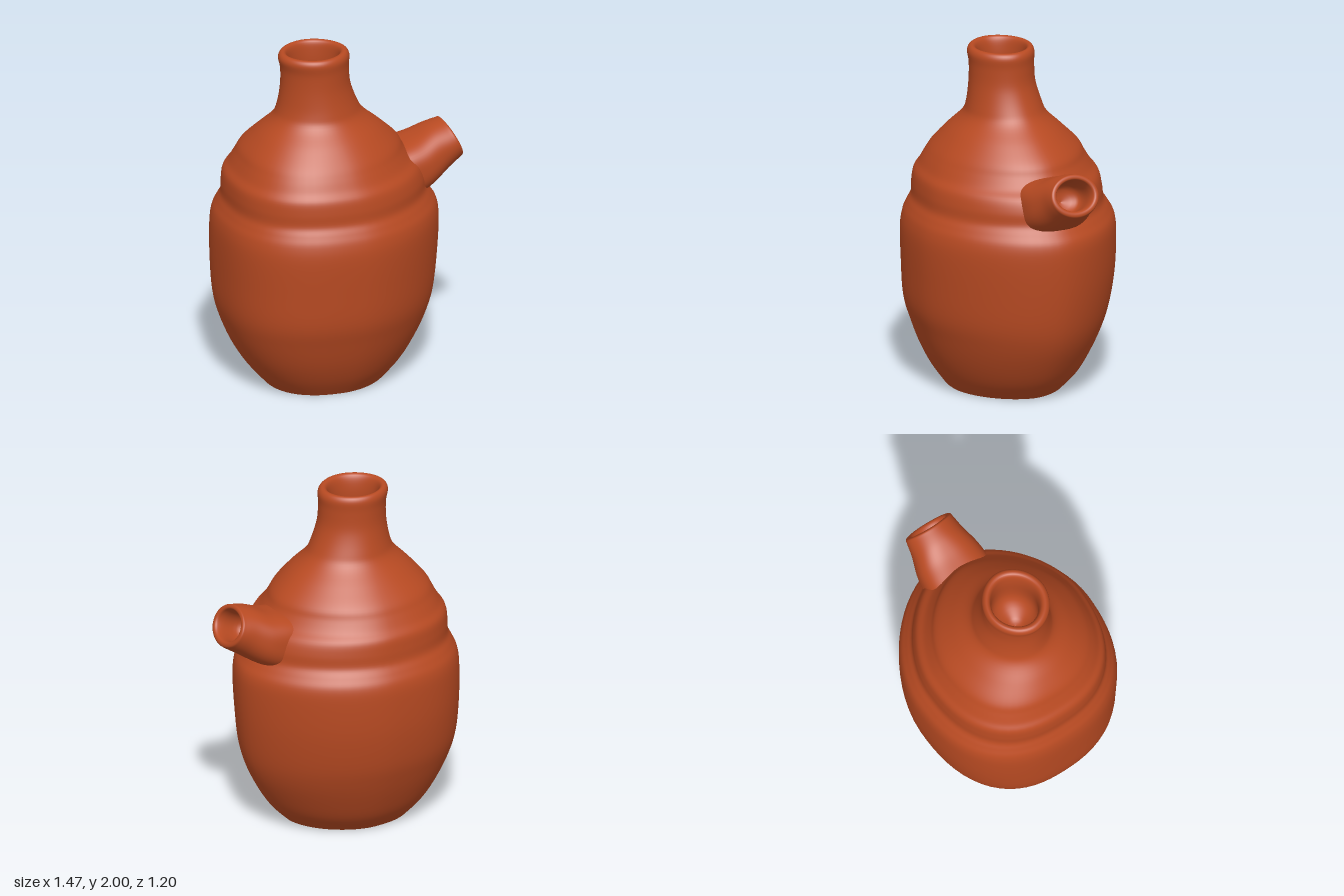
import * as THREE from 'three';

const SEG = 72;
const TAU = Math.PI * 2;

// Smooth interpolation of all numbers in a list of rows
function refine(rows, steps) {
  const out = [];
  const n = rows.length - 1;
  for (let i = 0; i < n; i++) {
    const a = rows[Math.max(i - 1, 0)], b = rows[i], c = rows[i + 1], d = rows[Math.min(i + 2, n)];
    for (let s = 0; s < steps; s++) {
      const t = s / steps;
      out.push(b.map((v, k) => 0.5 * (2 * v + (c[k] - a[k]) * t
        + (2 * a[k] - 5 * v + 4 * c[k] - d[k]) * t * t
        + (3 * v - a[k] - 3 * c[k] + d[k]) * t * t * t)));
    }
  }
  out.push(rows[n]);
  return out;
}

// Skin through closed rings, one ring per row
function loft(rows, pointAt) {
  const pos = [], index = [];
  rows.forEach((row, i) => {
    for (let j = 0; j < SEG; j++) {
      pos.push(...pointAt(row, (j / SEG) * TAU));
      if (i < rows.length - 1) {
        const a = i * SEG + j, b = i * SEG + (j + 1) % SEG;
        index.push(a, a + SEG, b, b, a + SEG, b + SEG);
      }
    }
  });
  const g = new THREE.BufferGeometry();
  g.setAttribute('position', new THREE.Float32BufferAttribute(pos, 3));
  g.setIndex(index);
  g.computeVertexNormals();
  return g;
}

// Radius of a unit superellipse at an angle
function superRadius(angle, e) {
  return Math.pow(Math.abs(Math.cos(angle)) ** e + Math.abs(Math.sin(angle)) ** e, -1 / e);
}

// Body ring: blunt towards -x, tapered towards the spout, rounder at the neck
function bodyPoint([y, x0, x1, z0, z1], angle) {
  const neck = THREE.MathUtils.smoothstep(y, 1.3, 1.7);
  const c = Math.cos(angle), s = Math.sin(angle);
  const e = THREE.MathUtils.lerp(c < 0 ? 2.4 : 1.75, 1.9, neck);
  const r = superRadius(angle, e);
  return [(x0 + x1) / 2 + (x1 - x0) / 2 * c * r, y, (z0 + z1) / 2 + (z1 - z0) / 2 * s * r];
}

// Spout ring: from a top point to a bottom point, with a half width and squareness
function spoutPoint([tx, ty, bx, by, w, e], angle) {
  const r = superRadius(angle, e);
  const c = Math.cos(angle) * r / 2, s = Math.sin(angle) * r;
  return [(tx + bx) / 2 + (tx - bx) * c, (ty + by) / 2 + (ty - by) * c, -s * w];
}

export function createModel() {
  const group = new THREE.Group();
  const clay = new THREE.MeshStandardMaterial({ color: 0xb84a22, side: THREE.DoubleSide });
  clay.name = 'terracotta';
  const add = (name, geometry) => {
    const mesh = new THREE.Mesh(geometry, clay);
    mesh.name = name;
    group.add(mesh);
  };

  // Body, shoulder ridges, neck, rim and hollow: y, xMin, xMax, zMin, zMax
  const body = [
    [0, -0.47, 0.26, -0.31, 0.36],
    [0.1, -0.555, 0.36, -0.395, 0.43],
    [0.22, -0.63, 0.44, -0.46, 0.49],
    [0.36, -0.69, 0.51, -0.52, 0.54],
    [0.5, -0.725, 0.55, -0.565, 0.58],
    [0.7, -0.735, 0.575, -0.595, 0.595],
    [0.9, -0.737, 0.585, -0.6, 0.602],
    [1.0, -0.725, 0.575, -0.59, 0.59],
    [1.06, -0.7, 0.54, -0.56, 0.565],
    [1.11, -0.68, 0.51, -0.53, 0.54],
    [1.18, -0.678, 0.5, -0.522, 0.535],
    [1.25, -0.668, 0.47, -0.51, 0.522],
    [1.3, -0.635, 0.415, -0.475, 0.49],
    [1.36, -0.605, 0.37, -0.44, 0.458],
    [1.42, -0.575, 0.335, -0.405, 0.42],
    [1.51, -0.5, 0.24, -0.315, 0.345],
    [1.6, -0.415, 0.135, -0.225, 0.26],
    [1.67, -0.385, 0.09, -0.195, 0.235],
    [1.79, -0.367, 0.045, -0.165, 0.217],
    [1.9, -0.366, 0.035, -0.16, 0.214],
    [1.97, -0.38, 0.037, -0.163, 0.22],
    [2.0, -0.36, 0.015, -0.145, 0.2],
    [1.985, -0.33, -0.015, -0.12, 0.17],
    [1.9, -0.315, -0.025, -0.112, 0.155],
    [1.7, -0.31, -0.03, -0.11, 0.155],
    [1.6, -0.23, -0.12, -0.03, 0.08],
    [1.58, -0.174, -0.174, 0.024, 0.024],
  ];
  add('body', loft(refine(body, 5), bodyPoint));

  // Flat underside
  add('base', loft([[0, -0.105, -0.105, 0.025, 0.025], body[0]], bodyPoint));

  // Flared spout with an open mouth: topX, topY, bottomX, bottomY, halfWidth, squareness
  const spout = [
    [0.3, 1.34, 0.42, 1.04, 0.205, 3],
    [0.37, 1.355, 0.48, 1.06, 0.205, 2.8],
    [0.45, 1.378, 0.55, 1.095, 0.195, 2.5],
    [0.54, 1.418, 0.64, 1.155, 0.168, 2.2],
    [0.61, 1.438, 0.71, 1.2, 0.155, 2],
    [0.632, 1.44, 0.735, 1.222, 0.147, 2],
    [0.64, 1.42, 0.725, 1.246, 0.122, 2],
    [0.61, 1.4, 0.685, 1.24, 0.112, 2],
    [0.5, 1.33, 0.57, 1.19, 0.1, 2],
    [0.5, 1.24, 0.5, 1.24, 0, 2],
  ];
  add('spout', loft(refine(spout, 5), spoutPoint));

  return group;
}
